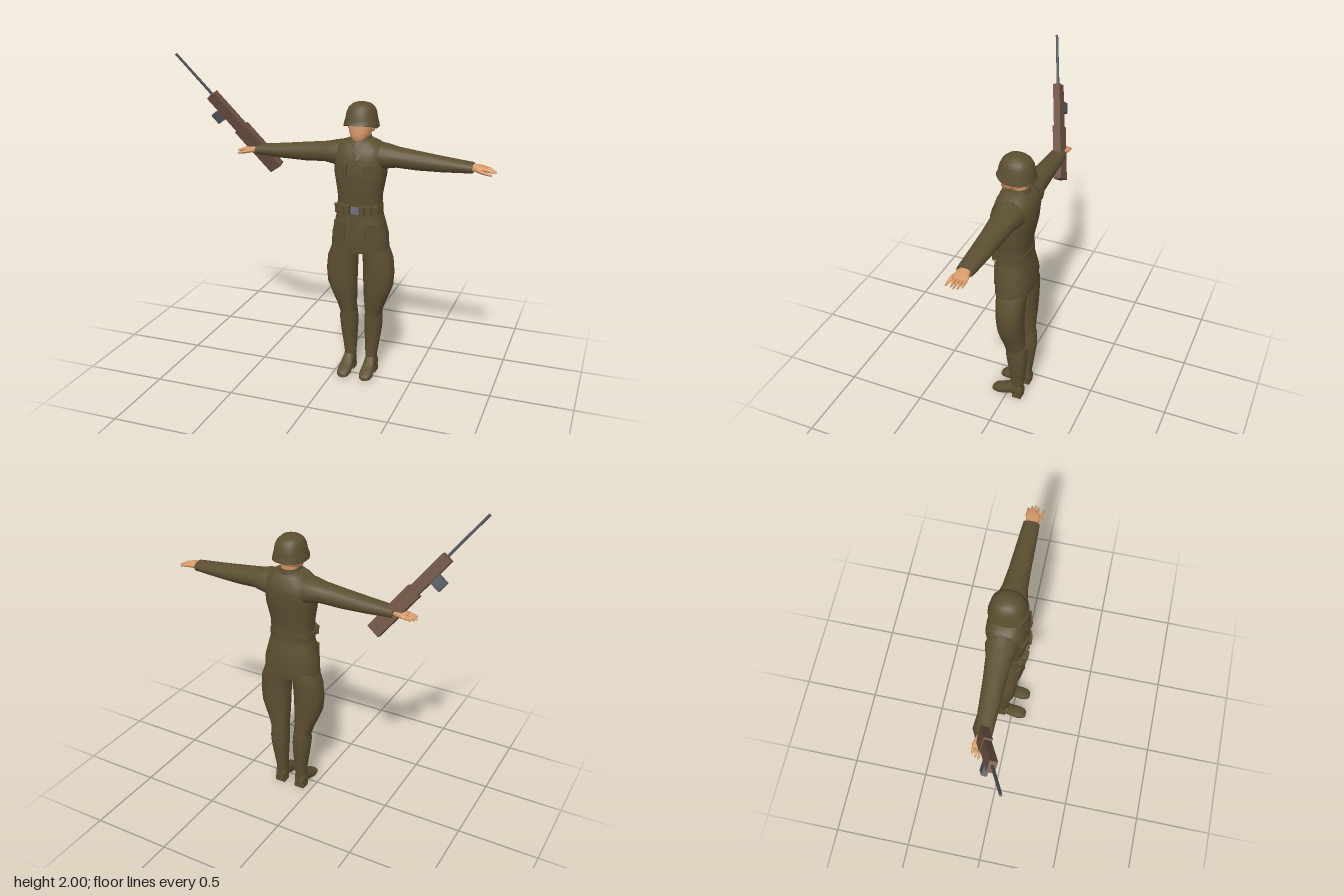
import * as THREE from 'three';
import { toCreasedNormals } from 'three/addons/utils/BufferGeometryUtils.js';

const material = (name, color) => {
  const m = new THREE.MeshStandardMaterial({ color });
  m.name = name;
  return m;
};

// Closed skin through rounded cross-sections [t, uMin, uMax, vMin, vMax], t ascending.
// u,v are x,z for axis y; z,y for axis x; y,x for axis z.
function loft(axis, sections, power = 2.4, sides = 18) {
  const place = {
    y: (t, u, v) => [u, t, v],
    x: (t, u, v) => [t, v, u],
    z: (t, u, v) => [v, u, t],
  }[axis];
  const round = (k) => Math.sign(k) * Math.abs(k) ** (2 / power);
  const pos = [], index = [];
  for (const [t, u0, u1, v0, v1] of sections) {
    for (let j = 0; j < sides; j++) {
      const a = (j / sides) * Math.PI * 2;
      pos.push(...place(t, (u0 + u1) / 2 + ((u1 - u0) / 2) * round(Math.cos(a)),
        (v0 + v1) / 2 + ((v1 - v0) / 2) * round(Math.sin(a))));
    }
  }
  const last = (sections.length - 1) * sides;
  for (let i = 0; i < last; i += sides) {
    for (let j = 0; j < sides; j++) {
      const k = (j + 1) % sides;
      index.push(i + j, i + sides + j, i + k, i + k, i + sides + j, i + sides + k);
    }
  }
  for (let j = 1; j < sides - 1; j++) {
    index.push(0, j, j + 1, last, last + j + 1, last + j);
  }
  const g = new THREE.BufferGeometry();
  g.setAttribute('position', new THREE.Float32BufferAttribute(pos, 3));
  g.setIndex(index);
  return g;
}

// Reflected copy across x with corrected corner order
function mirrored(geometry) {
  const g = geometry.clone().scale(-1, 1, 1);
  const ix = g.index.array;
  for (let i = 0; i < ix.length; i += 3) [ix[i], ix[i + 1]] = [ix[i + 1], ix[i]];
  return g;
}

function box(w, h, d, x, y, z, ry = 0, rx = 0) {
  return new THREE.BoxGeometry(w, h, d).rotateX(rx).rotateY(ry).translate(x, y, z);
}

export function createModel() {
  const model = new THREE.Group();
  model.name = 'soldier';
  const cloth = material('olive cloth', 0x5c4f31);
  const skin = material('skin', 0xd89b69);
  const wood = material('rifle wood', 0x6b5040);
  const metal = material('dark metal', 0x55585c);
  const steel = material('buckle steel', 0x6e7279);

  const body = new THREE.Group();
  body.name = 'body';
  body.position.x = 0.15;
  model.add(body);
  const add = (parent, name, geometry, mat) => {
    const mesh = new THREE.Mesh(toCreasedNormals(geometry, 0.8), mat);
    mesh.name = name;
    parent.add(mesh);
    return mesh;
  };
  const pair = (name, geometry, mat) => {
    add(body, 'left' + name, geometry, mat);
    add(body, 'right' + name, mirrored(geometry), mat);
  };

  // Tunic with flared skirt
  add(body, 'tunic', loft('y', [
    [0.86, -0.178, 0.178, -0.15, 0.07],
    [0.95, -0.172, 0.172, -0.155, 0.075],
    [1.05, -0.148, 0.148, -0.135, 0.067],
    [1.11, -0.132, 0.132, -0.125, 0.063],
    [1.2, -0.135, 0.135, -0.13, 0.075],
    [1.32, -0.155, 0.155, -0.155, 0.085],
    [1.42, -0.158, 0.158, -0.165, 0.083],
    [1.48, -0.15, 0.15, -0.155, 0.062],
    [1.515, -0.115, 0.115, -0.13, 0.042],
    [1.535, -0.06, 0.06, -0.11, 0.025],
  ], 2.6, 24), cloth);
  add(body, 'collar', loft('y', [
    [1.5, -0.07, 0.07, -0.125, 0.042],
    [1.55, -0.055, 0.055, -0.118, 0.028],
  ]), cloth);
  add(body, 'frontFlap', box(0.012, 0.24, 0.006, -0.018, 0.98, 0.069, 0, 0.04), cloth);
  for (const [y, z] of [[1.19, 0.074], [1.26, 0.08], [1.33, 0.085], [1.4, 0.084]]) {
    add(body, 'button', new THREE.SphereGeometry(0.007, 8, 6).translate(0, y, z), cloth);
  }

  // Lapels, pockets and shoulder straps
  const lapelShape = new THREE.Shape([[0.004, 0], [0.055, 0.06], [0.045, 0.075], [0.05, 0.115], [0.025, 0.125]]
    .map(([x, y]) => new THREE.Vector2(x, y)));
  const lapel = new THREE.ExtrudeGeometry(lapelShape, { depth: 0.008, bevelEnabled: false });
  lapel.setIndex([...Array(lapel.attributes.position.count).keys()]);
  pair('Lapel', lapel.rotateX(-0.38).rotateY(0.12).translate(0, 1.41, 0.082), cloth);
  pair('ChestPocket', box(0.07, 0.075, 0.012, 0.082, 1.35, 0.075, 0.28), cloth);
  pair('ChestPocketFlap', box(0.074, 0.025, 0.016, 0.082, 1.385, 0.075, 0.28), cloth);
  pair('HipPocket', box(0.08, 0.09, 0.012, 0.1, 0.97, 0.058, 0.38), cloth);
  pair('HipPocketFlap', box(0.084, 0.028, 0.016, 0.1, 1.02, 0.055, 0.38), cloth);
  pair('ShoulderStrap', new THREE.BoxGeometry(0.12, 0.012, 0.045).rotateZ(-0.2).translate(0.125, 1.506, -0.05), cloth);

  // Belt, pouches and buckle
  add(body, 'belt', loft('y', [
    [1.09, -0.138, 0.138, -0.131, 0.07],
    [1.14, -0.138, 0.138, -0.131, 0.072],
  ], 2.6, 24), cloth);
  for (const [x, z, ry] of [[0.045, 0.075, 0.05], [0.078, 0.069, 0.25], [0.11, 0.05, 0.6]]) {
    pair('Pouch', box(0.028, 0.054, 0.036, x, 1.116, z, ry), cloth);
    pair('PouchFlap', box(0.031, 0.02, 0.041, x, 1.136, z, ry), cloth);
  }
  add(body, 'buckle', box(0.048, 0.044, 0.009, 0, 1.115, 0.075), steel);

  // Sleeves
  pair('Sleeve', loft('x', [
    [0.07, -0.13, 0.035, 1.33, 1.515],
    [0.15, -0.145, 0.045, 1.36, 1.508],
    [0.22, -0.125, 0.028, 1.372, 1.493],
    [0.35, -0.112, 0.02, 1.366, 1.478],
    [0.5, -0.102, 0.016, 1.37, 1.46],
    [0.67, -0.09, 0.01, 1.38, 1.442],
  ], 2.2), cloth);

  // Hands: palm, four fingers and thumb
  pair('Palm', loft('x', [
    [0.655, -0.068, -0.01, 1.393, 1.433],
    [0.69, -0.078, 0.0, 1.393, 1.433],
    [0.725, -0.088, 0.002, 1.397, 1.427],
    [0.75, -0.086, -0.01, 1.395, 1.418],
  ], 2.6, 12), skin);
  [[-0.077, 0.78], [-0.058, 0.798], [-0.038, 0.805], [-0.019, 0.795]].forEach(([z, tip]) => {
    pair('Finger', loft('x', [
      [0.735, z - 0.0095, z + 0.0095, 1.397, 1.419],
      [0.77, z - 0.0085, z + 0.0085, 1.394, 1.412],
      [tip, z - 0.004, z + 0.004, 1.39, 1.399],
    ], 2, 8), skin);
  });
  pair('Thumb', loft('x', [
    [0.685, -0.025, 0.002, 1.395, 1.42],
    [0.73, -0.005, 0.02, 1.388, 1.41],
    [0.785, 0.008, 0.02, 1.382, 1.394],
  ], 2, 8), skin);

  // Breeches, bulging outward at the thigh
  add(body, 'hips', loft('y', [
    [0.83, -0.12, 0.12, -0.13, 0.035],
    [0.95, -0.15, 0.15, -0.135, 0.05],
  ]), cloth);
  pair('Breeches', loft('y', [
    [0.41, 0.032, 0.132, -0.13, 0.0],
    [0.47, 0.03, 0.15, -0.125, 0.01],
    [0.54, 0.027, 0.18, -0.125, 0.025],
    [0.61, 0.025, 0.207, -0.125, 0.032],
    [0.7, 0.022, 0.214, -0.128, 0.038],
    [0.79, 0.02, 0.205, -0.135, 0.042],
    [0.86, 0.014, 0.178, -0.14, 0.045],
    [0.93, 0.01, 0.15, -0.13, 0.045],
  ]), cloth);

  // Tall boots
  pair('BootShaft', loft('y', [
    [0.05, 0.036, 0.108, -0.105, -0.015],
    [0.12, 0.034, 0.105, -0.112, -0.028],
    [0.2, 0.03, 0.117, -0.122, -0.024],
    [0.3, 0.026, 0.132, -0.135, -0.012],
    [0.36, 0.026, 0.136, -0.139, -0.004],
    [0.43, 0.032, 0.132, -0.137, 0.0],
  ]), cloth);
  pair('BootFoot', loft('z', [
    [-0.11, 0.02, 0.075, 0.045, 0.1],
    [-0.095, 0.015, 0.11, 0.036, 0.108],
    [-0.03, 0.018, 0.115, 0.036, 0.108],
    [0.0, 0.01, 0.085, 0.033, 0.112],
    [0.045, 0.002, 0.06, 0.03, 0.116],
    [0.08, 0.003, 0.048, 0.036, 0.11],
    [0.1, 0.008, 0.03, 0.052, 0.094],
  ], 2.8, 16), cloth);
  pair('BootHeel', box(0.066, 0.03, 0.06, 0.072, 0.015, -0.075), cloth);

  // Neck, head and nose
  add(body, 'neck', loft('y', [
    [1.5, -0.05, 0.05, -0.1, 0.01],
    [1.6, -0.052, 0.052, -0.11, 0.0],
  ]), skin);
  add(body, 'head', loft('y', [
    [1.528, -0.03, 0.03, -0.03, 0.042],
    [1.545, -0.05, 0.05, -0.07, 0.05],
    [1.575, -0.066, 0.066, -0.11, 0.05],
    [1.62, -0.073, 0.073, -0.12, 0.048],
    [1.67, -0.07, 0.07, -0.12, 0.045],
  ]), skin);
  add(body, 'nose', loft('y', [
    [1.578, -0.013, 0.013, 0.03, 0.064],
    [1.59, -0.011, 0.011, 0.03, 0.062],
    [1.63, -0.006, 0.006, 0.03, 0.05],
  ], 2, 8), skin);
  pair('Ear', new THREE.SphereGeometry(0.02, 10, 8).scale(0.5, 1.1, 0.8).translate(0.073, 1.6, -0.04), skin);

  // Helmet with flared rim, raised at the brow
  const helmet = loft('y', [
    [1.603, -0.104, 0.104, -0.155, 0.076],
    [1.63, -0.1, 0.1, -0.148, 0.07],
    [1.655, -0.092, 0.092, -0.145, 0.064],
    [1.69, -0.087, 0.087, -0.138, 0.055],
    [1.718, -0.074, 0.074, -0.122, 0.041],
    [1.737, -0.054, 0.054, -0.096, 0.018],
    [1.745, -0.03, 0.03, -0.07, -0.01],
    [1.748, -0.004, 0.004, -0.045, -0.035],
  ], 2.3, 24);
  const p = helmet.attributes.position;
  for (let i = 0; i < p.count; i++) {
    if (p.getY(i) < 1.61) p.setY(i, 1.603 + 0.022 * THREE.MathUtils.smoothstep(p.getZ(i), 0.0, 0.06));
  }
  add(body, 'helmet', helmet, cloth);

  // Rifle, built along its own y axis from butt to muzzle
  const rifle = new THREE.Group();
  rifle.name = 'rifle';
  const butt = new THREE.Vector3(-0.418, 1.29, -0.09);
  const along = new THREE.Vector3(-0.95, 1.995, 0.155).sub(butt).normalize();
  const under = new THREE.Vector3(-0.77, -0.6, -0.15);
  under.addScaledVector(along, -under.dot(along)).normalize();
  rifle.quaternion.setFromRotationMatrix(
    new THREE.Matrix4().makeBasis(under, along, under.clone().cross(along)));
  rifle.position.copy(butt);
  model.add(rifle);
  add(rifle, 'stock', box(0.09, 0.335, 0.05, 0, 0.1675, 0), wood);
  add(rifle, 'handguard', box(0.066, 0.27, 0.044, 0, 0.465, 0), wood);
  add(rifle, 'magazine', box(0.08, 0.068, 0.032, 0.06, 0.467, 0), metal);
  add(rifle, 'barrel', new THREE.CylinderGeometry(0.008, 0.009, 0.33, 10).translate(-0.004, 0.752, 0), metal);
  return model;
}
